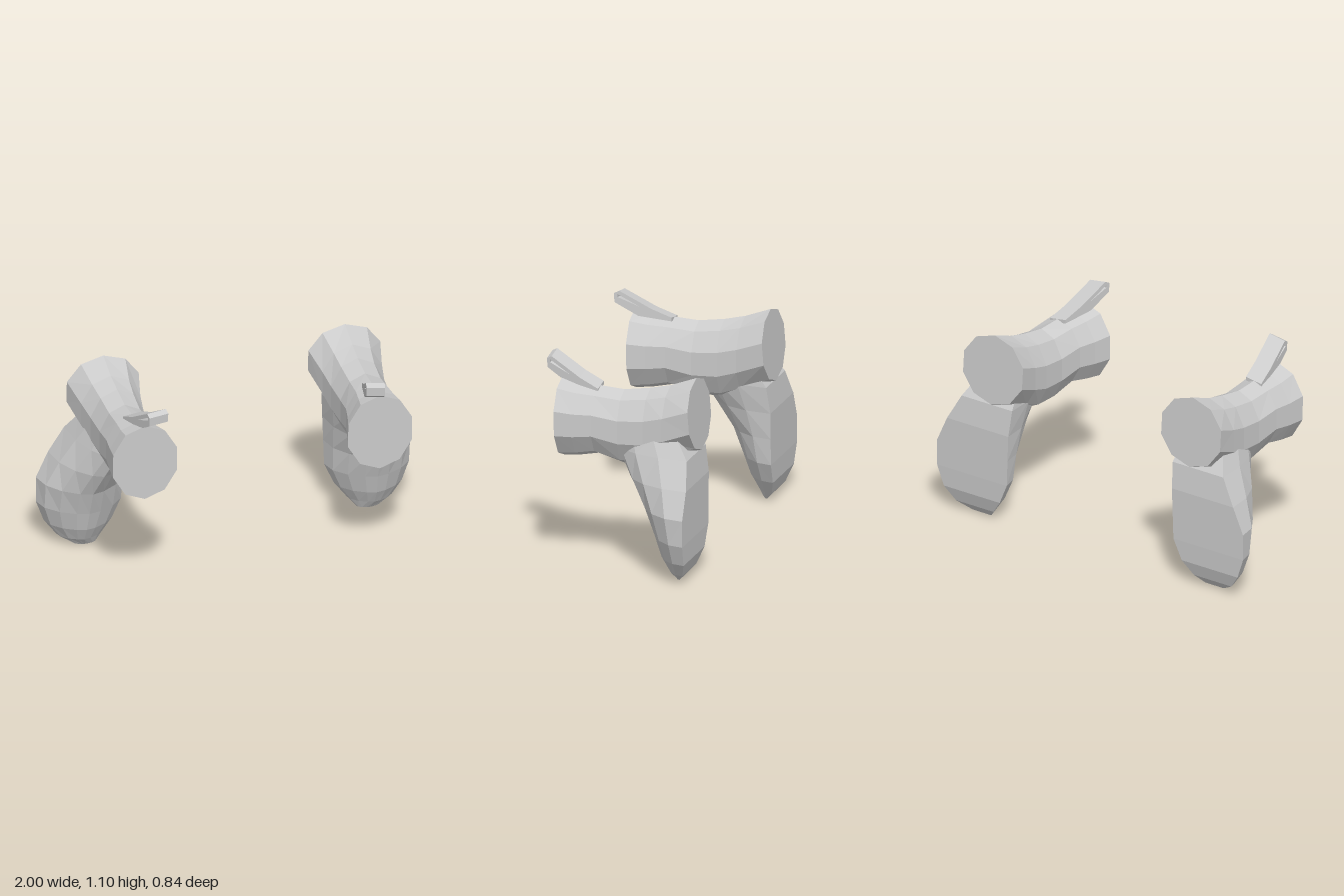
import * as THREE from 'three';

// Skin a list of rings (same point count) and close both ends.
function loft(rings) {
  const pos = [];
  const tri = (...pts) => pts.forEach(p => pos.push(p.x, p.y, p.z));
  const n = rings[0].length;
  const centre = r => r.reduce((s, p) => s.add(p), new THREE.Vector3()).divideScalar(n);
  const first = rings[0], last = rings[rings.length - 1];
  const c0 = centre(first), c1 = centre(last);
  for (let j = 0; j < n; j++) {
    const k = (j + 1) % n;
    for (let i = 0; i < rings.length - 1; i++) {
      const a = rings[i], b = rings[i + 1];
      tri(a[j], b[j], a[k]);
      tri(a[k], b[j], b[k]);
    }
    tri(c0, first[j], first[k]);
    tri(c1, last[k], last[j]);
  }
  const g = new THREE.BufferGeometry();
  g.setAttribute('position', new THREE.Float32BufferAttribute(pos, 3));
  g.computeVertexNormals();
  return g;
}

// Reflected copy across x = 0 with the corner order restored.
function mirrored(geo) {
  const g = geo.clone();
  const p = g.attributes.position;
  const v = [0, 1, 2].map(() => new THREE.Vector3());
  for (let i = 0; i < p.count; i += 3) {
    v.forEach((q, k) => q.fromBufferAttribute(p, i + k));
    [0, 2, 1].forEach((k, m) => p.setXYZ(i + m, -v[k].x, v[k].y, v[k].z));
  }
  g.computeVertexNormals();
  return g;
}

// Horizontal barrel, ten-sided: z, left x, right x, bottom y, top y, lean of the ring
function barrelGeometry() {
  const sections = [
    [0.335, 0.45, 0.81, 0.56, 0.985, 0.02],
    [0.24, 0.475, 0.8, 0.57, 0.965, 0],
    [0.14, 0.495, 0.79, 0.59, 0.955, 0],
    [0.0, 0.505, 0.785, 0.55, 0.945, 0],
    [-0.14, 0.495, 0.795, 0.55, 0.965, 0],
    [-0.25, 0.48, 0.815, 0.59, 0.99, 0],
    [-0.403, 0.445, 0.85, 0.66, 1.04, 0.08],
  ];
  return loft(sections.map(([z, x0, x1, y0, y1, lean]) =>
    Array.from({ length: 10 }, (_, j) => {
      const t = Math.PI / 2 + j * Math.PI / 5;
      const dy = Math.sin(t) * (y1 - y0) / 2;
      return new THREE.Vector3((x0 + x1) / 2 + Math.cos(t) * (x1 - x0) / 2, (y0 + y1) / 2 + dy, z + lean * dy);
    })));
}

// Handle with a flat back: y, inner x, outer x, back z, front z
function handleGeometry() {
  const sections = [
    [0.75, 0.54, 0.8, -0.33, 0.03],
    [0.65, 0.525, 0.855, -0.4, 0.02],
    [0.51, 0.535, 0.935, -0.42, -0.06],
    [0.37, 0.54, 1.0, -0.42, -0.148],
    [0.23, 0.545, 1.0, -0.42, -0.205],
    [0.12, 0.595, 0.96, -0.415, -0.242],
    [0.045, 0.655, 0.9, -0.39, -0.285],
    [0.0, 0.7, 0.82, -0.35, -0.32],
  ];
  const n = 8;
  return loft(sections.map(([y, x0, x1, z0, z1]) =>
    Array.from({ length: n + 1 }, (_, j) => {
      const t = Math.PI * (1 - j / n);
      const c = Math.cos(t);
      return new THREE.Vector3(
        (x0 + x1) / 2 + Math.sign(c) * Math.abs(c) ** 1.35 * (x1 - x0) / 2,
        y,
        z0 + (z1 - z0) * Math.sin(t));
    })));
}

// Slotted tab rising forward from the top of the barrel, drawn in (z, y)
function tabGeometry() {
  const shape = new THREE.Shape([
    [0.13, 0.955], [0.13, 0.935], [0.3, 0.96], [0.42, 1.03], [0.424, 1.078], [0.397, 1.092], [0.235, 1.0],
  ].map(p => new THREE.Vector2(...p)));
  shape.holes.push(new THREE.Path([[0.405, 1.058], [0.405, 1.074], [0.29, 1.008]].map(p => new THREE.Vector2(...p))));
  const w = 0.1;
  const ext = new THREE.ExtrudeGeometry(shape, { depth: w, bevelEnabled: false });
  const g = ext.index ? ext.toNonIndexed() : ext;
  g.translate(0, 0, -w / 2);
  g.rotateY(-Math.PI / 2);
  // drift inward toward the tip, with a slight sideways roll
  const p = g.attributes.position;
  for (let i = 0; i < p.count; i++) {
    const x = -p.getX(i), y = p.getY(i), z = p.getZ(i);
    p.setXYZ(i, 0.64 - x - (z - 0.13) * 0.2, y + x * 0.15, z);
  }
  g.computeVertexNormals();
  return g;
}

export function createModel() {
  const grey = new THREE.MeshStandardMaterial({ color: 0xcccccc, flatShading: true });
  grey.name = 'lightGrey';
  const parts = { barrel: barrelGeometry(), handle: handleGeometry(), tab: tabGeometry() };
  const model = new THREE.Group();
  model.name = 'gripPair';
  for (const side of ['left', 'right']) {
    const grip = new THREE.Group();
    grip.name = side + 'Grip';
    for (const [name, geo] of Object.entries(parts)) {
      const mesh = new THREE.Mesh(side === 'left' ? geo : mirrored(geo), grey);
      mesh.name = name;
      grip.add(mesh);
    }
    model.add(grip);
  }
  return model;
}
